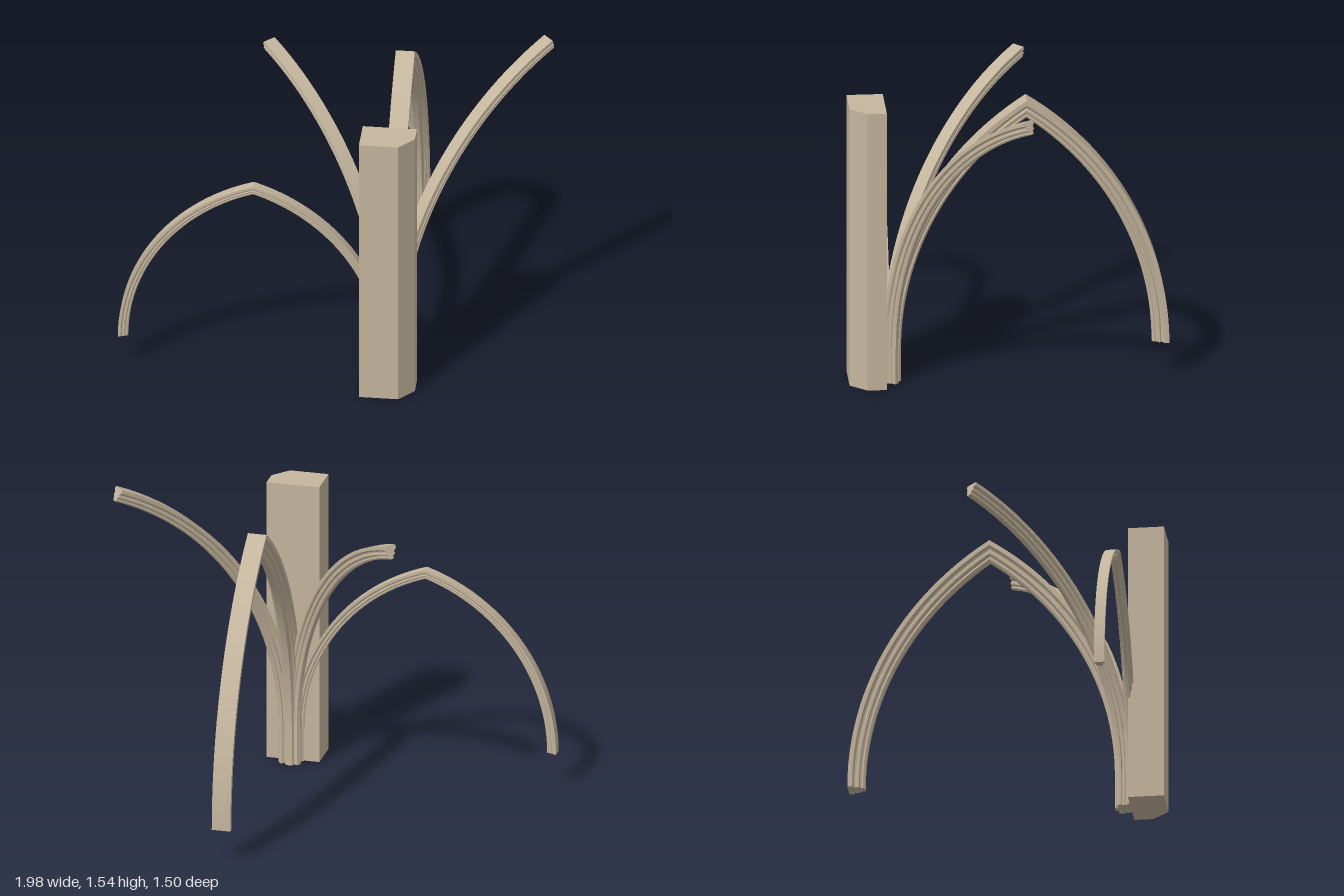
import * as THREE from 'three';
import { toCreasedNormals } from 'three/addons/utils/BufferGeometryUtils.js';

const SPRING = 0.165; // height where the arcs begin
const STEPS = 28;

// one side of the rib moulding: [half-width fraction, depth fraction], outer to inner
const MOULDING = [
  [1, 0], [1, 0.26], [0.86, 0.33], [0.7, 0.36], [0.62, 0.46], [0.74, 0.54],
  [0.7, 0.66], [0.5, 0.7], [0.4, 0.78], [0.46, 0.88], [0.3, 1],
];

// Sweeps the moulding up a short stem and along a circular arc.
// span and rise locate the end of the outer edge; full mirrors it to a pointed arch.
function ribGeometry({ span, rise, width, depth, full }) {
  const R = (span * span + rise * rise) / (2 * span);
  const side = MOULDING.map(([w, d]) => new THREE.Vector2(w * width / 2, d * depth));
  const profile = [...side, ...side.map(v => new THREE.Vector2(-v.x, v.y)).reverse()];

  const arcPoint = (v, f, mirrored) => {
    const r = R - v.y;
    const end = Math.acos((R - span) / (full ? r : R)); // mitred apex or square cut
    const s = R - r * Math.cos(f * end);
    return [mirrored ? 2 * span - s : s, SPRING + r * Math.sin(f * end), v.x];
  };

  // cross-section loops from foot to end
  const loops = [profile.map(v => [v.y, 0, v.x])];
  for (let i = 0; i <= STEPS; i++) loops.push(profile.map(v => arcPoint(v, i / STEPS, false)));
  if (full) {
    for (let i = STEPS - 1; i >= 0; i--) loops.push(profile.map(v => arcPoint(v, i / STEPS, true)));
  }

  const n = profile.length;
  const index = [];
  for (let i = 0; i < loops.length - 1; i++) {
    for (let j = 0; j < n; j++) {
      const k = (j + 1) % n;
      const a = i * n + j, b = i * n + k, c = b + n, d = a + n;
      index.push(a, b, c, a, c, d);
    }
  }
  // end caps
  const last = (loops.length - 1) * n;
  const ccw = THREE.ShapeUtils.isClockWise(profile) ? [...profile].reverse() : profile;
  const at = j => (ccw === profile ? j : n - 1 - j);
  for (const [a, b, c] of THREE.ShapeUtils.triangulateShape(ccw, [])) {
    index.push(at(c), at(b), at(a), last + at(a), last + at(b), last + at(c));
  }

  const geometry = new THREE.BufferGeometry();
  geometry.setAttribute('position', new THREE.Float32BufferAttribute(loops.flat(2), 3));
  geometry.setIndex(index);
  return toCreasedNormals(geometry, 0.3);
}

export function createModel() {
  const model = new THREE.Group();
  model.name = 'vaultSpringer';
  const stone = new THREE.MeshStandardMaterial({ color: 0xc4b59d });
  stone.name = 'stone';

  // pier with one chamfered corner; shape y becomes -z when stood up
  const plan = new THREE.Shape(
    [[0.15, 0.58], [0.15, 0.75], [0.335, 0.75], [0.405, 0.67], [0.405, 0.58]]
      .map(([x, z]) => new THREE.Vector2(x, -z)));
  const pierGeometry = new THREE.ExtrudeGeometry(plan, { depth: 1.387, bevelEnabled: false });
  pierGeometry.rotateX(-Math.PI / 2);
  const pier = new THREE.Mesh(pierGeometry, stone);
  pier.name = 'pier';
  model.add(pier);

  // ribs fanning out from the pier: foot position and heading in plan
  const ribs = [
    { name: 'transverseArch', foot: [0.277, 0.585], heading: [0, -1],
      span: 0.668, rise: 1.235, width: 0.09, depth: 0.08, full: true },
    { name: 'wallArch', foot: [0.27, 0.58], heading: [-1, 0],
      span: 0.635, rise: 0.865, width: 0.05, depth: 0.047, full: true },
    { name: 'rightDiagonalRib', foot: [0.28, 0.57], heading: [-0.645, -0.665],
      span: 0.926, rise: 1.247, width: 0.065, depth: 0.065, full: false },
    { name: 'leftDiagonalRib', foot: [0.28, 0.57], heading: [0.675, -0.61],
      span: 0.91, rise: 1.38, width: 0.065, depth: 0.065, full: false },
  ];
  for (const rib of ribs) {
    const mesh = new THREE.Mesh(ribGeometry(rib), stone);
    mesh.name = rib.name;
    mesh.position.set(rib.foot[0], 0, rib.foot[1]);
    mesh.rotation.y = Math.atan2(-rib.heading[1], rib.heading[0]);
    model.add(mesh);
  }
  return model;
}
